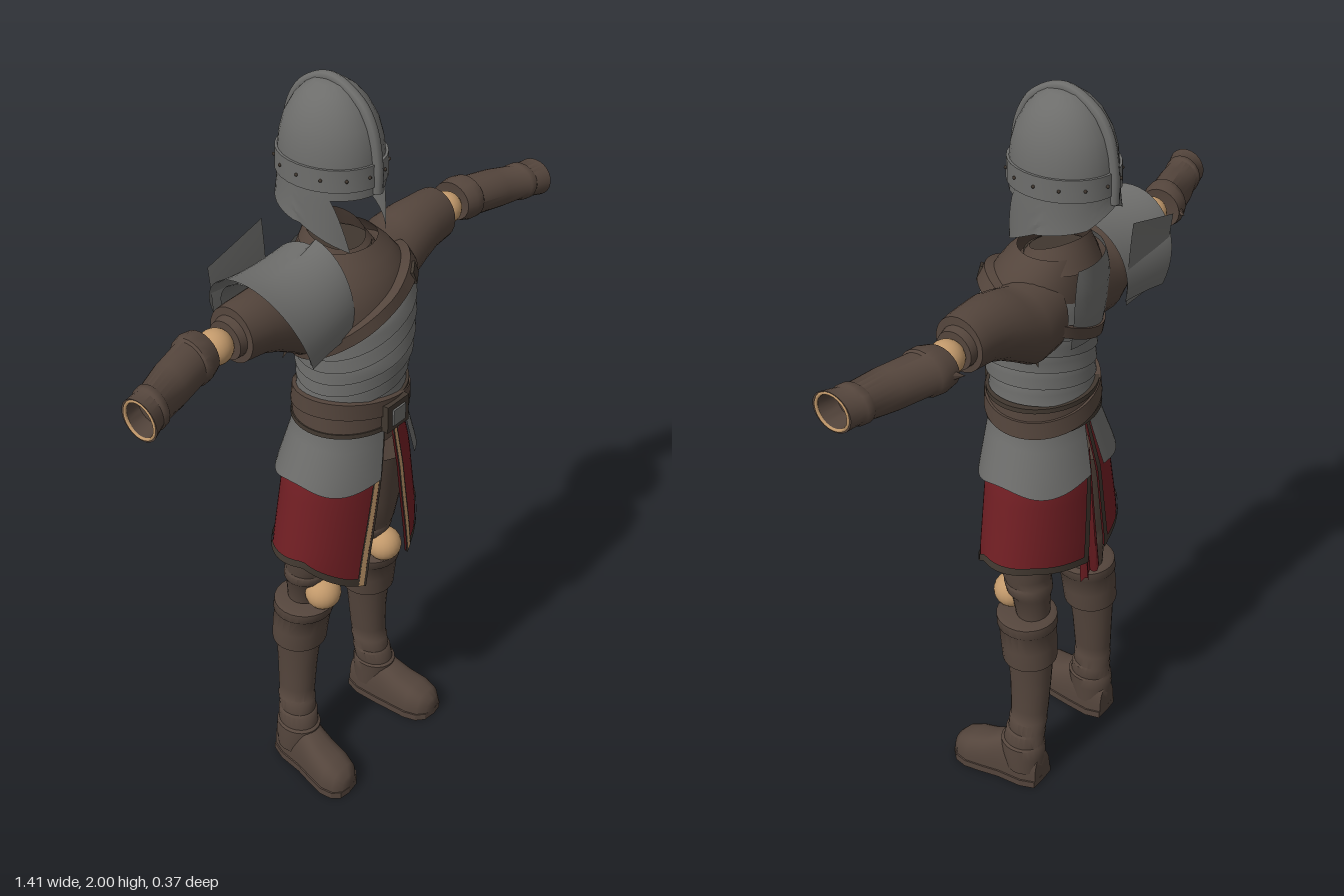
import * as THREE from 'three';
import { toCreasedNormals } from 'three/addons/utils/BufferGeometryUtils.js';

const paint = (name, color) => {
  const m = new THREE.MeshStandardMaterial({ color, side: THREE.DoubleSide });
  m.name = name;
  return m;
};
const { sin, cos, PI, abs } = Math;
const lerp = THREE.MathUtils.lerp;

// Piecewise interpolation of rows keyed by their first number
function sample(rows, k) {
  let i = 0;
  while (i < rows.length - 2 && k > rows[i + 1][0]) i++;
  const a = rows[i], b = rows[i + 1];
  const t = THREE.MathUtils.clamp((k - a[0]) / (b[0] - a[0]), 0, 1);
  return a.map((n, j) => lerp(n, b[j], t));
}

// Torso and skirt outline: height, half width, centre z, half depth
const BODY = [
  [0.66, 0.238, 0, 0.147], [0.78, 0.232, 0, 0.145], [1.0, 0.188, 0.005, 0.138], [1.14, 0.138, 0.016, 0.118],
  [1.24, 0.13, 0.02, 0.112], [1.34, 0.142, 0.03, 0.123], [1.45, 0.16, 0.02, 0.13],
  [1.52, 0.16, 0.012, 0.125], [1.57, 0.135, 0, 0.11], [1.61, 0.095, -0.02, 0.088], [1.65, 0.075, -0.03, 0.075],
];
function onBody(a, y, off = 0) {
  const [, rx, cz, rz] = sample(BODY, y);
  return [sin(a) * (rx + off), y, cz + cos(a) * (rz + off)];
}

// Surface from a rule f(u, v) -> [x, y, z]
function sheet(f, nu, nv, crease = 0.6) {
  const pos = [], idx = [];
  for (let j = 0; j <= nv; j++) for (let i = 0; i <= nu; i++) pos.push(...f(i / nu, j / nv));
  for (let j = 0; j < nv; j++) for (let i = 0; i < nu; i++) {
    const a = j * (nu + 1) + i, c = a + nu + 1;
    idx.push(a, a + 1, c, a + 1, c + 1, c);
  }
  const g = new THREE.BufferGeometry();
  g.setAttribute('position', new THREE.Float32BufferAttribute(pos, 3));
  g.setIndex(idx);
  return toCreasedNormals(g, crease);
}

// Limb from rings [x, y, z, ra, rb], lying along y or along x
const limb = (rows, axis = 'y', seg = 24) => sheet((u, v) => {
  const [x, y, z, ra, rb] = rows[Math.round(v * (rows.length - 1))], a = u * PI * 2;
  return axis === 'y' ? [x + sin(a) * ra, y, z + cos(a) * rb] : [x, y + cos(a) * ra, z + sin(a) * rb];
}, seg, rows.length - 1, 0.8);

export function createModel() {
  const model = new THREE.Group();
  const steel = paint('steel', 0x6d6d6b), leather = paint('leather', 0x54453c), cloth = paint('red cloth', 0x701e23);
  const tan = paint('tan', 0xc2996b), dark = paint('dark trim', 0x40372f);
  const add = (name, geo, mat, parent = model, p = [0, 0, 0], r = [0, 0, 0]) => {
    const m = new THREE.Mesh(geo, mat);
    m.name = name;
    m.position.set(...p);
    m.rotation.set(...r);
    parent.add(m);
    return m;
  };

  // Helmet: dome, brow band, cheek and neck guards, crest
  const helmet = new THREE.Group();
  helmet.name = 'helmet';
  model.add(helmet);
  const DOME = [[1.75, 1], [1.82, 0.99], [1.86, 0.95], [1.9, 0.86], [1.94, 0.68], [1.965, 0.49], [1.98, 0.3], [1.987, 0]];
  const HC = -0.04;
  const onHelm = (a, y, off = 0) => {
    const k = sample(DOME, y)[1];
    return [sin(a) * (0.112 * k + off), y, HC + cos(a) * (0.13 * k + off)];
  };
  add('helmetDome', sheet((u, v) => onHelm(u * PI * 2, DOME[Math.round(v * 7)][0]), 32, 7), steel, helmet);
  add('browBand', sheet((u, v) => onHelm(u * PI * 2, [1.772, 1.772, 1.825, 1.825][Math.round(v * 3)], [0, 0.006, 0.006, 0][Math.round(v * 3)]), 32, 3), steel, helmet);
  const GUARD = [[0.6, 1.62], [1.0, 1.645], [1.6, 1.685], [2.5, 1.705], [2.85, 1.73], [PI, 1.745]];
  for (const s of [-1, 1]) {
    add('cheekAndNeckGuard', sheet((u, v) => {
      const a = lerp(lerp(1.15, 0.6, v ** 0.7), PI, u);
      return onHelm(s * a, lerp(1.78, sample(GUARD, a)[1], v), 0.001 + (a > 1.6 ? 0.006 * v * v : 0));
    }, 24, 8), steel, helmet);
  }
  const crest = [[1.755, 0], [1.82, 0], [1.9, 0], [1.95, 0], [1.987, 0], [1.95, PI], [1.9, PI], [1.82, PI], [1.75, PI]]
    .map(([y, a]) => new THREE.Vector3(...onHelm(a, y, y < 1.98 ? 0.003 : 0)));
  add('crestRidge', new THREE.TubeGeometry(new THREE.CatmullRomCurve3(crest), 40, 0.013, 8), steel, helmet);
  for (let i = 0; i < 14; i++) {
    add('rivet', new THREE.SphereGeometry(0.004, 8, 6), dark, helmet, onHelm((i + 0.5) / 14 * PI * 2, 1.8, 0.007));
  }

  // Leather jerkin, collar and overlapping slanted plates
  add('jerkin', sheet((u, v) => onBody(u * PI * 2, lerp(1.1, 1.61, v)), 36, 18), leather);
  add('collar', sheet((u, v) => {
    const a = u * PI * 2, r = lerp(0.1, 0.072, v);
    return [sin(a) * r, lerp(1.575, 1.625 - 0.025 * cos(a), v), -0.03 + cos(a) * r * 0.95];
  }, 28, 4), leather);
  add('neckLining', new THREE.CircleGeometry(0.085, 24), dark, model, [0, 1.59, -0.03], [-PI / 2, 0, 0]);
  for (let i = 0; i < 6; i++) {
    add('torsoPlate', sheet((u, v) => {
      const a = u * PI * 2;
      return onBody(a, 1.215 + i * 0.043 + v * 0.052 + (0.02 + i * 0.007) * sin(a), v > 0.9 ? 0.001 : 0.014 - 0.01 * v);
    }, 36, 4), steel);
  }
  add('backPlate', sheet((u, v) => onBody(lerp(2.75, 4.6, u), lerp(1.38, 1.585, v), 0.016), 16, 8), steel);

  // Shoulder strap around the chest and sashes at the waist
  const band = (name, yOf, width, off, mat) => add(name, sheet((u, v) => {
    const a = u * PI * 2, e = [0, 1, 1, 0][Math.round(v * 3)], h = [-0.5, -0.5, 0.5, 0.5][Math.round(v * 3)];
    return onBody(a, yOf(a) + h * width, e * off);
  }, 48, 3), mat);
  band('chestStrap', a => 1.455 + 0.085 * cos(a - 0.9), 0.032, 0.022, leather);
  band('belt', () => 1.19, 0.075, 0.018, leather);
  band('beltEdgeTop', () => 1.222, 0.012, 0.021, dark);
  band('beltEdgeBottom', () => 1.158, 0.012, 0.021, dark);
  band('waistSash', a => 1.2 - 0.03 * cos(a - 2), 0.045, 0.024, leather);
  add('beltBuckle', new THREE.BoxGeometry(0.08, 0.075, 0.02), dark, model, [0, 1.19, 0.157]);
  add('buckleFace', new THREE.BoxGeometry(0.045, 0.045, 0.008), steel, model, [0, 1.19, 0.168]);
  add('strapBuckle', new THREE.BoxGeometry(0.04, 0.035, 0.018), dark, model, [0.09, 1.525, 0.128], [-0.3, 0.5, 0.4]);

  // Skirt panels with hem, front trim and hip plates
  const HEM = [[0.3, 0.675], [0.6, 0.7], [1.25, 0.78], [2.2, 0.775], [PI, 0.735]];
  const slit = v => lerp(0.36, 0.1, v);
  const panel = (s, u, v, off = 0) => {
    const a = lerp(slit(v), PI - lerp(0.16, 0.03, v), u);
    return onBody(s * a, lerp(sample(HEM, a)[1], 1.14, v), off);
  };
  for (const s of [-1, 1]) {
    add('skirtPanel', sheet((u, v) => panel(s, u, v), 30, 10), cloth);
    add('skirtHem', sheet((u, v) => panel(s, u, v * 0.055, 0.004), 30, 2), dark);
    add('frontTrim', sheet((u, v) => panel(s, 0.012 + u * 0.026, v, 0.005), 2, 12), tan);
    add('frontTrimEdge', sheet((u, v) => panel(s, u * 0.013, v, 0.006), 2, 12), dark);
    add('frontTrimOuterEdge', sheet((u, v) => panel(s, 0.036 + u * 0.01, v, 0.005), 2, 12), dark);
    add('backTrim', sheet((u, v) => panel(s, 0.97 + u * 0.03, v, 0.005), 2, 12), dark);
    const start = s > 0 ? 0.48 : 0.16;
    add('hipPlate', sheet((u, v) => {
      const a = lerp(start + (1 - v) * 0.08, PI - 0.06 - (1 - v) * 0.08, u);
      return onBody(s * a, lerp(1.005 + 0.012 * cos(a * 4), 1.165, v), 0.012 + 0.006 * (1 - v));
    }, 28, 6), steel);
  }
  add('rearTail', sheet((u, v) => [lerp(-0.045, 0.045, u) * lerp(1, 0.7, v), lerp(0.66 + 0.02 * abs(sin(u * 9)), 1.05, v), lerp(-0.135, -0.105, v) + 0.006 * cos(u * 12)], 10, 4), cloth);

  // Limbs, one side built and mirrored
  for (const s of [-1, 1]) {
    const side = new THREE.Group();
    side.name = s > 0 ? 'leftLimbs' : 'rightLimbs';
    side.scale.x = s;
    model.add(side);

    add('sleeve', limb([
      [0.08, 1.47, -0.02, 0.11, 0.09], [0.15, 1.46, -0.02, 0.1, 0.092], [0.2, 1.485, -0.022, 0.092, 0.086], [0.25, 1.505, -0.018, 0.083, 0.078],
      [0.3, 1.515, -0.017, 0.073, 0.07], [0.335, 1.517, -0.017, 0.071, 0.067], [0.365, 1.517, -0.017, 0.068, 0.064],
      [0.366, 1.515, -0.018, 0.05, 0.05], [0.385, 1.512, -0.018, 0.047, 0.047], [0.386, 1.512, -0.018, 0, 0]], 'x'), leather, side);
    add('sleeveFringe', sheet((u, v) => [lerp(0.13, lerp(0.15, 0.245, v), u), lerp(lerp(1.35, 1.46, u), 1.41, v), -0.02 + lerp(-0.04, 0.04, u)], 4, 2), dark, side);
    add('elbowBall', new THREE.SphereGeometry(0.042, 20, 14), tan, side, [0.414, 1.51, -0.02]);
    add('gauntlet', limb([
      [0.455, 1.512, -0.022, 0, 0], [0.448, 1.512, -0.028, 0.05, 0.055], [0.475, 1.512, -0.022, 0.058, 0.06], [0.495, 1.512, -0.017, 0.057, 0.058],
      [0.5, 1.511, -0.015, 0.052, 0.053], [0.58, 1.509, 0.008, 0.051, 0.052], [0.645, 1.506, 0.028, 0.045, 0.047], [0.65, 1.506, 0.03, 0.049, 0.051],
      [0.665, 1.506, 0.034, 0.049, 0.051], [0.67, 1.506, 0.036, 0.045, 0.047], [0.706, 1.506, 0.048, 0.049, 0.052], [0.704, 1.506, 0.048, 0.04, 0.042],
      [0.66, 1.506, 0.035, 0.036, 0.038], [0.66, 1.506, 0.035, 0, 0]], 'x'), leather, side);
    add('gauntletRim', new THREE.TorusGeometry(0.044, 0.004, 6, 24), tan, side, [0.704, 1.506, 0.048], [0, PI / 2, 0]);
    const guard = add('elbowGuard', new THREE.ConeGeometry(0.045, 0.09, 10), leather, side, [0.472, 1.512, -0.06], [-PI / 2, 0, 0.55]);
    guard.scale.set(0.7, 1, 0.9);

    add('thigh', limb([
      [0.125, 0.58, -0.035, 0.045, 0.045], [0.125, 0.645, -0.03, 0.052, 0.052], [0.125, 0.66, -0.025, 0.062, 0.06], [0.125, 0.685, -0.02, 0.064, 0.062],
      [0.125, 0.69, -0.02, 0.06, 0.06], [0.124, 0.715, -0.016, 0.067, 0.066], [0.118, 0.8, -0.01, 0.075, 0.08], [0.1, 0.98, 0.005, 0.085, 0.1]]), leather, side);
    add('kneeBall', new THREE.SphereGeometry(0.048, 20, 14), tan, side, [0.127, 0.625, 0.032]);
    add('bootCuff', limb([
      [0.145, 0.45, -0.038, 0.055, 0.06], [0.145, 0.445, -0.038, 0.074, 0.073], [0.143, 0.5, -0.034, 0.077, 0.075], [0.14, 0.55, -0.028, 0.076, 0.077],
      [0.14, 0.555, -0.027, 0.08, 0.081], [0.138, 0.582, -0.024, 0.08, 0.081], [0.138, 0.588, -0.024, 0.07, 0.07], [0.138, 0.57, -0.024, 0, 0]]), leather, side);
    add('bootShaft', limb([
      [0.17, 0.05, -0.035, 0.054, 0.055], [0.17, 0.1, -0.03, 0.056, 0.064], [0.168, 0.135, -0.028, 0.056, 0.064], [0.167, 0.14, -0.03, 0.05, 0.058],
      [0.163, 0.18, -0.035, 0.051, 0.057], [0.162, 0.185, -0.037, 0.046, 0.053], [0.159, 0.225, -0.041, 0.048, 0.055], [0.158, 0.23, -0.042, 0.044, 0.052],
      [0.155, 0.27, -0.043, 0.046, 0.054], [0.15, 0.36, -0.043, 0.05, 0.058], [0.146, 0.46, -0.04, 0.06, 0.064]]), leather, side);
    // Foot: arched cross-sections [z, centre x, half width, height]
    const FOOT = [[-0.092, 0.165, 0, 0.05], [-0.09, 0.165, 0.036, 0.09], [-0.05, 0.167, 0.05, 0.125], [0.02, 0.172, 0.052, 0.128],
      [0.07, 0.18, 0.056, 0.1], [0.12, 0.187, 0.059, 0.085], [0.155, 0.19, 0.05, 0.07], [0.175, 0.192, 0.03, 0.05], [0.18, 0.192, 0, 0.03]];
    add('foot', sheet((u, v) => {
      const [z, cx, w, h] = FOOT[Math.round(v * 8)], a = u * PI;
      return [cx + w * Math.sign(cos(a)) * abs(cos(a)) ** 0.7, 0.01 + h * sin(a) ** 0.7, z];
    }, 18, 8, 0.9), leather, side);
    const outline = FOOT.map(f => new THREE.Vector2(f[1] + f[2] + 0.004, -f[0]))
      .concat(FOOT.slice(1, -1).reverse().map(f => new THREE.Vector2(f[1] - f[2] - 0.004, -f[0])));
    add('sole', new THREE.ExtrudeGeometry(new THREE.Shape(outline), { depth: 0.022, bevelEnabled: false }), leather, side, [0, 0, 0], [-PI / 2, 0, 0]);
  }

  // Right shoulder armour: flared plate arched over the arm, with a lower lame
  const pauldron = (off, inner, outer, reach) => sheet((u, v) => {
    const a = lerp(-reach, reach, u), k = abs(a) / reach;
    const x = lerp(inner, outer + 0.07 * k * k, v), flare = off + 0.022 * v ** 3 + 0.03 * (1 - v) ** 3 * (a < 0 ? 1 : 0.3);
    return [x, 1.47 + cos(a) * (0.125 + flare) + 0.015 * (1 - v), -0.02 - sin(a) * (0.125 + off + 0.012 * v)];
  }, 28, 10);
  add('pauldron', pauldron(0.008, -0.1, -0.322, 1.85), steel);
  add('pauldronLowerLame', pauldron(-0.012, -0.15, -0.3, 2.0), steel);
  add('pauldronBackFlange', sheet((u, v) => [lerp(-0.11, -0.29, u), lerp(1.43, lerp(1.65, 1.6, u), v), -0.145 - 0.012 * v * v], 6, 6), steel);
  return model;
}
